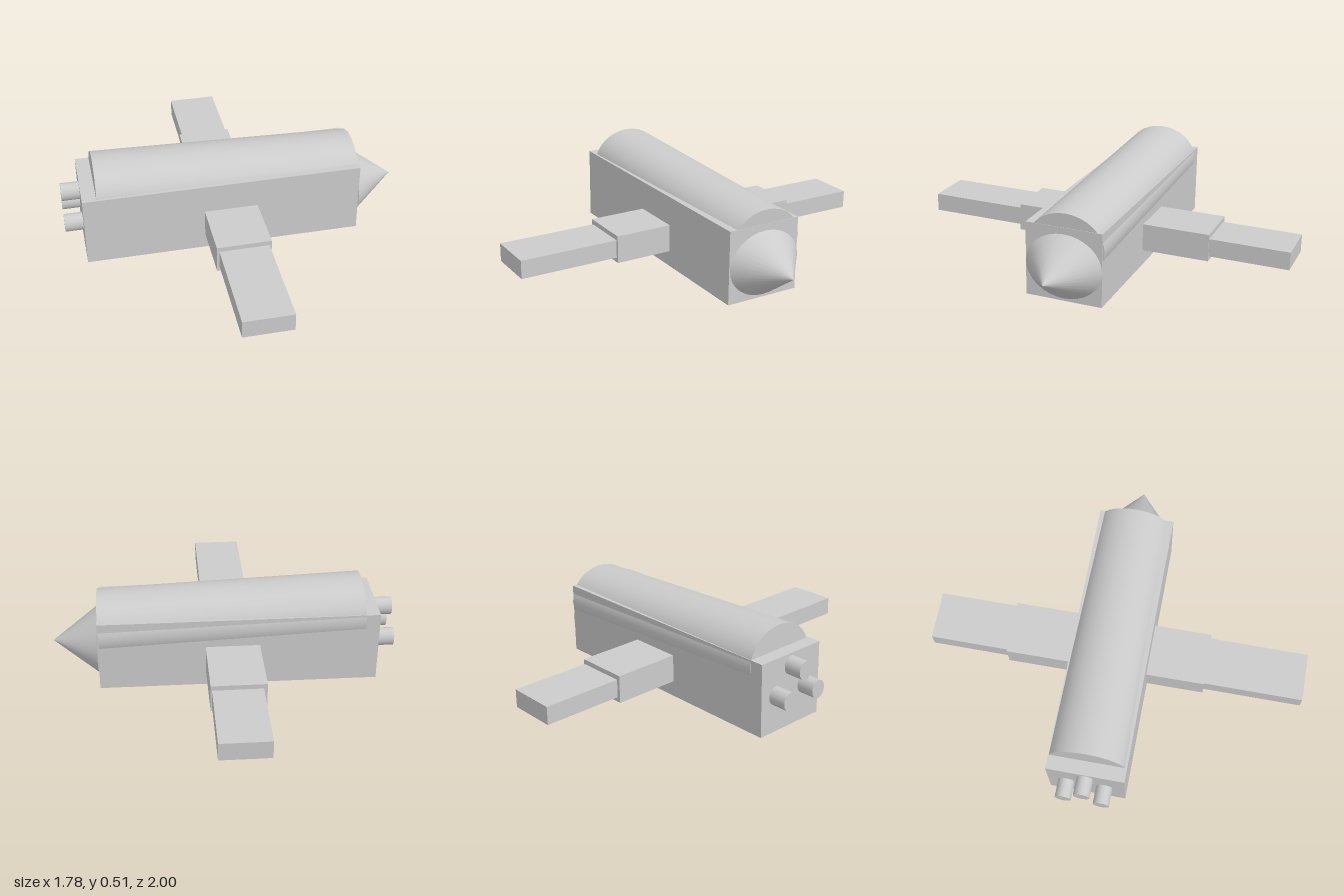
import * as THREE from 'three';

const material = new THREE.MeshStandardMaterial({ color: 0xcccccc });

export function createModel() {
  const model = new THREE.Group();
  model.name = 'spacecraft';

  // Everything shares a slight roll about the long axis
  const craft = new THREE.Group();
  craft.name = 'craft';
  craft.position.y = 0.16;
  craft.rotation.x = -0.016;
  model.add(craft);

  const add = (name, geometry, x, y, z) => {
    const mesh = new THREE.Mesh(geometry, material);
    mesh.name = name;
    mesh.position.set(x, y, z);
    craft.add(mesh);
    return mesh;
  };
  const box = (name, w, h, d, x, y, z) => add(name, new THREE.BoxGeometry(w, h, d), x, y, z);

  // Oval cylinder or cone lying along x; front is the +x end
  const oval = (name, front, back, length, ry, rz, x, y, z) => {
    const geometry = new THREE.CylinderGeometry(front, back, length, 32);
    geometry.rotateZ(-Math.PI / 2);
    geometry.scale(1, ry, rz);
    return add(name, geometry, x, y, z);
  };

  // Fuselage
  box('body', 1.45, 0.382, 0.4, -0.075, 0.035, -0.026);

  // Half-sunk upper hull, sloping down to the nose
  const upperHull = oval('upperHull', 1, 1, 1.374, 0.168, 0.2, -0.042, 0.157, -0.0325);
  upperHull.rotation.set(0, 0.003, -0.036);

  // Nose cone
  oval('noseCone', 0, 1, 0.235, 0.168, 0.2, 0.772, 0.027, -0.028);

  // Wings: a thick inner sleeve around a long thin spar
  const sleeve = box('wingSleeve', 0.28, 0.145, 1.06, -0.04, 0, -0.05);
  sleeve.rotation.y = 0.005;
  box('wingSpar', 0.255, 0.095, 1.998, -0.037, 0, 0);

  // Three thrusters in a triangle
  for (const [y, z] of [[0.165, -0.028], [0.037, -0.13], [0.037, 0.067]]) {
    oval('thruster', 1, 1, 0.14, 0.048, 0.042, -0.825, y, z);
  }

  return model;
}
